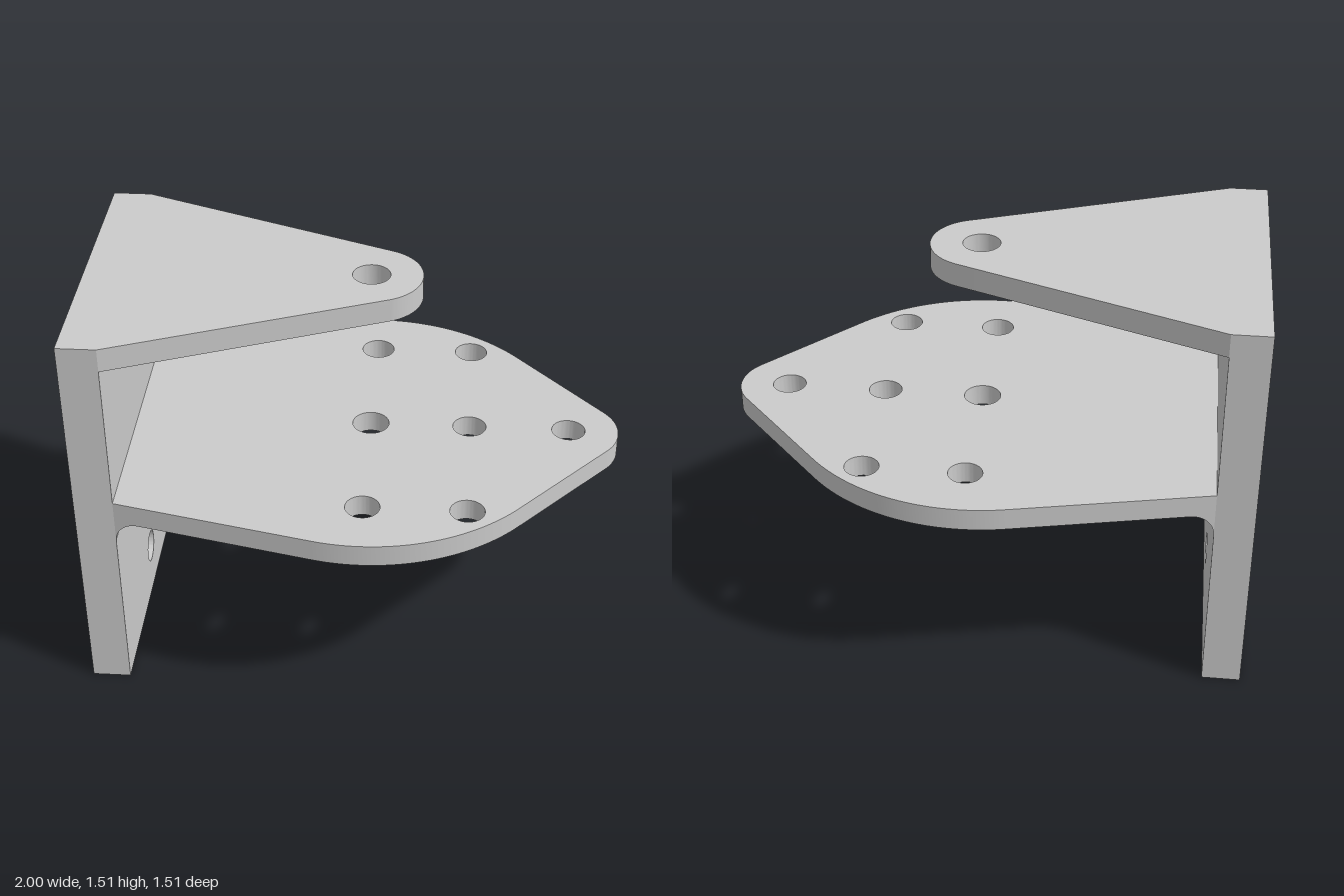
import * as THREE from 'three';
import { toCreasedNormals } from 'three/addons/utils/BufferGeometryUtils.js';

const FACE = -0.855; // front face of the wall plate
const HALF = 0.57;   // half width of the wall plate
const PIVOT = 0.05;  // x of the main hole
const NOSE = 0.19;   // small end radius

export function createModel() {
  const group = new THREE.Group();
  const material = new THREE.MeshStandardMaterial({ color: 0xcccccc });

  const add = (name, geometry) => {
    const mesh = new THREE.Mesh(toCreasedNormals(geometry, 0.5), material);
    mesh.name = name;
    group.add(mesh);
  };
  const extrude = (shape, depth) =>
    new THREE.ExtrudeGeometry(shape, { depth, bevelEnabled: false, curveSegments: 32 });
  const drill = (shape, x, y, r) =>
    shape.holes.push(new THREE.Path().absarc(x, y, r, 0, Math.PI * 2, true));

  // Angle where a line from the plate's corner touches a circle round the pivot
  const dx = FACE - PIVOT;
  const touch = (r) => Math.atan2(HALF, dx) - Math.acos(r / Math.hypot(dx, HALF));
  const flangeOutline = () => new THREE.Shape().moveTo(FACE, HALF).lineTo(FACE, -HALF);

  // Upright wall plate with two screw holes
  const wall = new THREE.Shape()
    .moveTo(-HALF, 0).lineTo(HALF, 0).lineTo(HALF, 1.51).lineTo(-HALF, 1.51).closePath();
  for (const y of [0.19, 0.57]) drill(wall, 0, y, 0.064);
  add('wallPlate', extrude(wall, FACE + 1).rotateY(Math.PI / 2).translate(-1, 0, 0));

  // Upper arm, tapering to a rounded eye
  const arm = flangeOutline();
  const armAngle = touch(NOSE);
  arm.absarc(PIVOT, 0, NOSE, -armAngle, armAngle, false).closePath();
  drill(arm, PIVOT, 0, 0.07);
  add('upperArm', extrude(arm, 0.09).rotateX(-Math.PI / 2).translate(0, 1.42, 0));

  // Wide lower flange: large round body running into a small nose
  const R = 0.757, noseX = 0.81;
  const a = touch(R);
  const b = Math.acos((R - NOSE) / (noseX - PIVOT));
  const flange = flangeOutline();
  flange.absarc(PIVOT, 0, R, -a, -b, false)
    .absarc(noseX, 0, NOSE, -b, b, false)
    .absarc(PIVOT, 0, R, b, a, false)
    .closePath();
  drill(flange, PIVOT, 0, 0.07);
  for (const [x, z] of [[PIVOT, 0.53], [PIVOT, -0.53], [0.43, 0.53], [0.43, 0], [0.43, -0.53], [noseX, 0]])
    drill(flange, x, z, 0.064);
  add('lowerFlange', extrude(flange, 0.085).rotateX(-Math.PI / 2).translate(0, 0.765, 0));

  // Fillet below the flange, its ends flared to follow the flange's sides
  const r = 0.09, top = 0.765;
  const profile = new THREE.Shape().moveTo(FACE, top).lineTo(FACE, top - r);
  profile.absarc(FACE + r, top - r, r, Math.PI, Math.PI / 2, true).closePath();
  const fillet = extrude(profile, 2 * HALF).translate(0, 0, -HALF);
  const slope = -1 / Math.tan(a);
  const p = fillet.attributes.position;
  for (let i = 0; i < p.count; i++)
    p.setZ(i, p.getZ(i) * (1 + (slope * (p.getX(i) - FACE)) / HALF));
  add('fillet', fillet);

  return group;
}
